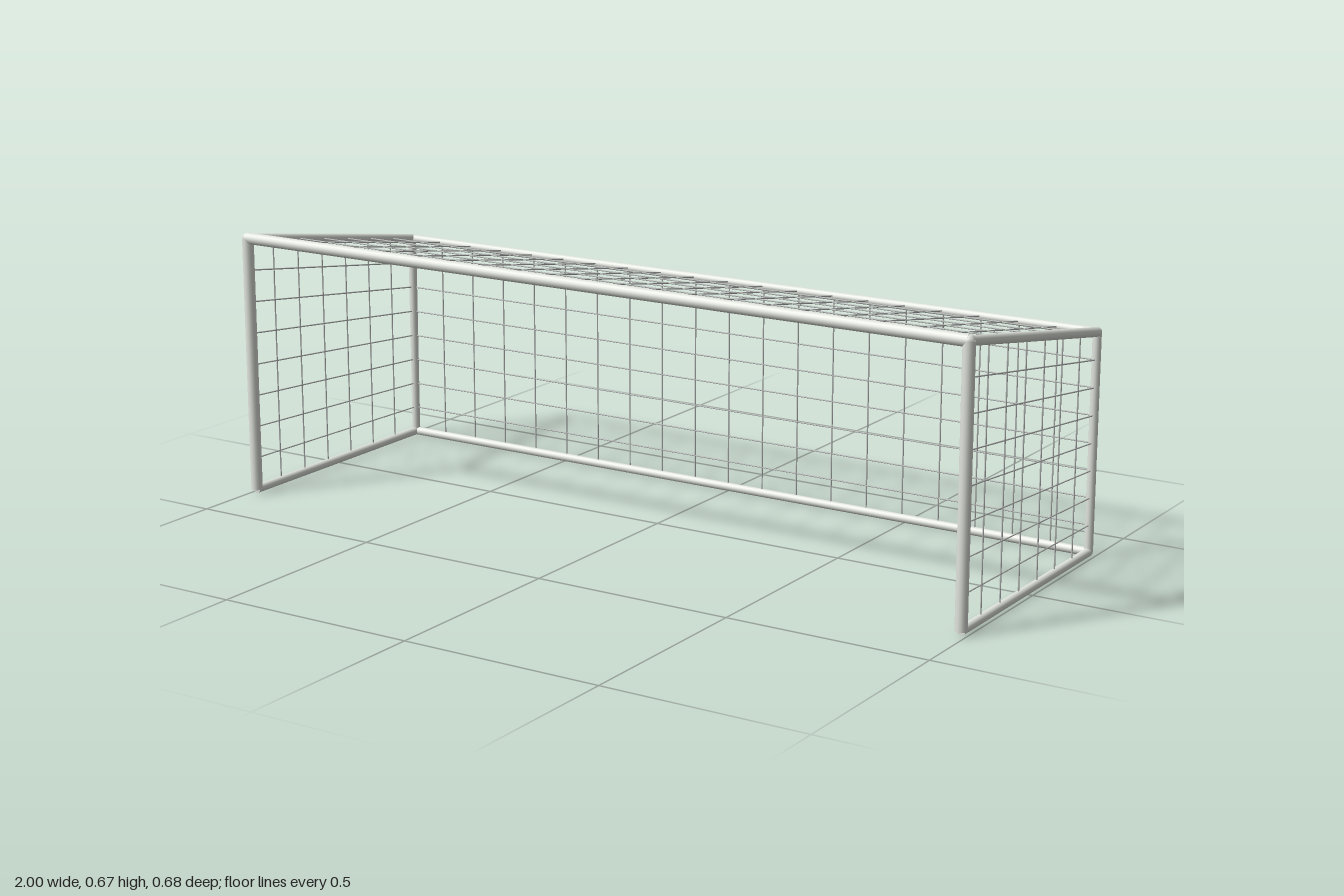
import * as THREE from 'three';

export function createModel() {
  const goal = new THREE.Group();
  goal.name = 'goal';

  const frameMaterial = new THREE.MeshStandardMaterial({ color: 0xe2e5de });
  frameMaterial.name = 'painted tube';
  const netMaterial = new THREE.MeshStandardMaterial({ color: 0xc0c3c1 });
  netMaterial.name = 'net cord';

  const THICK = 0.0143, RAIL = 0.0118, THIN = 0.0105, CORD = 0.0018;
  const X = 0.9857, FRONT = 0.3265, BACK = -0.33;
  const FRONT_TOP = 0.6525, BACK_TOP = 0.539, GROUND = THIN;
  const v = (x, y, z) => new THREE.Vector3(x, y, z);

  // Straight round bar between two points
  function bar(parent, name, a, b, radius, material, sides) {
    const dir = b.clone().sub(a);
    const mesh = new THREE.Mesh(new THREE.CylinderGeometry(radius, radius, dir.length(), sides), material);
    mesh.position.copy(a).add(b).multiplyScalar(0.5);
    mesh.quaternion.setFromUnitVectors(v(0, 1, 0), dir.normalize());
    mesh.name = name;
    parent.add(mesh);
  }
  const tube = (name, a, b, radius) => bar(goal, name, a, b, radius, frameMaterial, 16);

  // Round joint where tubes meet
  function joint(name, at, radius) {
    const mesh = new THREE.Mesh(new THREE.SphereGeometry(radius, 8, 6), frameMaterial);
    mesh.position.copy(at);
    mesh.name = name;
    goal.add(mesh);
  }

  // Net stretched between four corners: a-b is the first edge, d-c the opposite one
  function net(name, a, b, c, d, columns, rows) {
    const group = new THREE.Group();
    group.name = name;
    for (let i = 1; i < columns; i++) {
      const t = i / columns;
      bar(group, 'netColumn', a.clone().lerp(b, t), d.clone().lerp(c, t), CORD, netMaterial, 6);
    }
    for (let i = 1; i < rows; i++) {
      const t = i / rows;
      bar(group, 'netRow', a.clone().lerp(d, t), b.clone().lerp(c, t), CORD, netMaterial, 6);
    }
    goal.add(group);
  }

  // Corners of one side
  const corners = (x) => ({
    frontLow: v(x, GROUND, FRONT), frontTop: v(x, FRONT_TOP, FRONT),
    backLow: v(x, GROUND, BACK), backTop: v(x, BACK_TOP, BACK),
  });
  const left = corners(X), right = corners(-X);

  // Side frames and side nets
  for (const [side, p] of [['left', left], ['right', right]]) {
    tube(side + 'FrontPost', p.frontLow, p.frontTop, THICK);
    tube(side + 'BackPost', p.backLow, p.backTop, THIN);
    tube(side + 'TopRail', p.frontTop, p.backTop, RAIL);
    tube(side + 'GroundRail', p.frontLow, p.backLow, THIN);
    joint(side + 'FrontTopJoint', p.frontTop, THICK);
    joint(side + 'BackTopJoint', p.backTop, THIN);
    joint(side + 'BackLowJoint', p.backLow, THIN);
    net(side + 'Net', p.frontLow, p.backLow, p.backTop, p.frontTop, 7, 8);
  }

  // Crossbars
  tube('frontCrossbar', left.frontTop, right.frontTop, THICK);
  tube('backCrossbar', left.backTop, right.backTop, THIN);
  tube('backGroundRail', left.backLow, right.backLow, THIN);

  // Back and roof nets
  net('backNet', left.backLow, right.backLow, right.backTop, left.backTop, 20, 8);
  net('roofNet', left.frontTop, right.frontTop, right.backTop, left.backTop, 20, 7);

  return goal;
}
